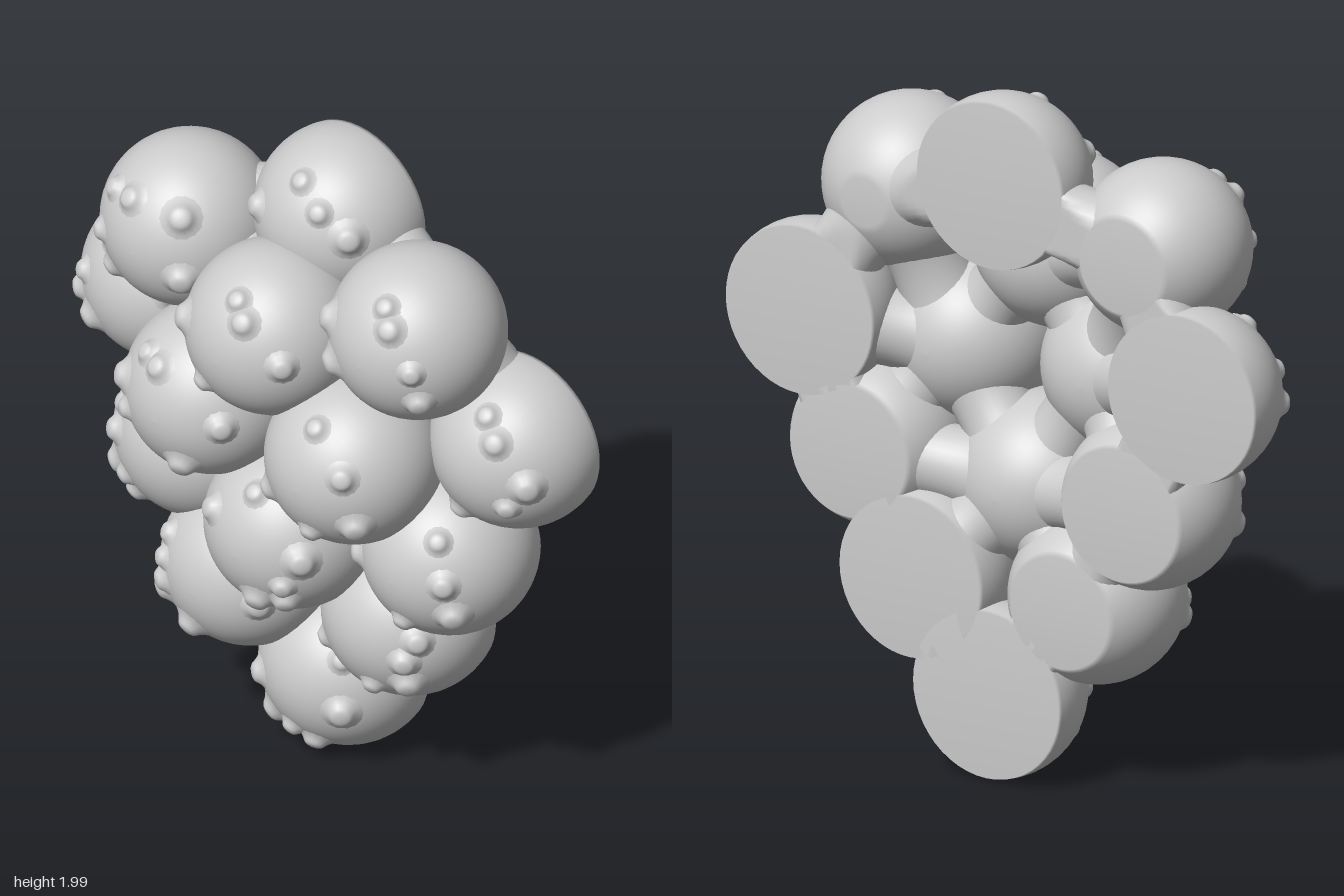
import * as THREE from 'three';

const R = 0.25;        // berry radius
const BACK = -0.31;    // flat plane the cluster is cut by

// Berry centres, from the top of the cluster to its tip
const CENTRES = [
  [0, 1.75, -0.24],
  [-0.44, 1.6, -0.1], [0.42, 1.62, -0.07],
  [-0.01, 1.5, 0.04],
  [-0.64, 1.25, -0.25], [0.635, 1.26, -0.25],
  [-0.25, 1.185, 0.02], [0.265, 1.18, 0.02],
  [-0.435, 0.87, -0.15], [0.47, 0.88, -0.15],
  [0, 0.82, -0.03],
  [-0.235, 0.545, -0.12], [0.265, 0.55, -0.22],
  [0.01, 0.255, -0.25],
].map((c) => new THREE.Vector3(...c));

// Directions of the nodules around each berry's front, in degrees
const NODULES = [
  [90, 160, 20, 56],
  [133, 105, 49, 183, 225, 341], [79, 62, 162, 7, 330, 205],
  [84, 66, 167, 235, 8],
  [110, 94, 29, 163, 193, 220], [79, 55, 0, 329, 250],
  [120, 100, 166, 196, 6, 293], [86, 31, 330, 275, 210],
  [141, 167, 209, 223, 240, 36], [54, 11, 333, 270, 184],
  [86, 146, 7, 332, 312, 286],
  [145, 195, 207, 167, 0, 253], [208, 350, 321, 283, 14],
  [45, 187, 230, 258, 280, 349],
];

// Sphere profile closed by a flat back where it meets the cutting plane
function berryGeometry(cz) {
  const cut = Math.max(-R, BACK - cz);
  const start = Math.asin(cut / R);
  const pts = cut > -R ? [new THREE.Vector2(0, cut)] : [];
  for (let i = 0; i <= 32; i++) {
    const a = start + (Math.PI / 2 - start) * i / 32;
    pts.push(new THREE.Vector2(Math.max(0, R * Math.cos(a)), R * Math.sin(a)));
  }
  return new THREE.LatheGeometry(pts, 48).rotateX(Math.PI / 2);
}

// Small rounded bump with a flared foot
function noduleGeometry() {
  const pts = [];
  for (let i = 0; i <= 10; i++) {
    const t = i / 10;
    const r = 0.06 * (1 - t) ** 2 + 0.018 * Math.sin(Math.PI * t ** 1.5);
    pts.push(new THREE.Vector2(Math.max(0, r), -0.008 + 0.036 * Math.sin(t * Math.PI / 2)));
  }
  return new THREE.LatheGeometry(pts, 14);
}

// Waisted web between two berries, set towards the back and flattened on the cutting plane
function webGeometry(a, b) {
  const gap = a.distanceTo(b);
  const pts = [];
  for (let i = -5; i <= 5; i++) {
    pts.push(new THREE.Vector2(0.11 + 0.03 * (i / 5) ** 2, 0.07 * i * gap));
  }
  const middle = a.clone().lerp(b, 0.5);
  const turn = new THREE.Quaternion().setFromUnitVectors(
    new THREE.Vector3(0, 1, 0), b.clone().sub(a).normalize());
  const geometry = new THREE.LatheGeometry(pts, 32).applyQuaternion(turn)
    .translate(middle.x, middle.y, middle.z - 0.07);
  const p = geometry.attributes.position;
  for (let i = 0; i < p.count; i++) p.setZ(i, Math.max(p.getZ(i), BACK + 0.001));
  geometry.computeVertexNormals();
  return geometry;
}

export function createModel() {
  const model = new THREE.Group();
  model.name = 'berryCluster';
  const skin = new THREE.MeshStandardMaterial({ color: 0xcccccc });
  skin.name = 'light grey';
  const up = new THREE.Vector3(0, 1, 0);
  const nodule = noduleGeometry();

  CENTRES.forEach((centre, k) => {
    const berry = new THREE.Group();
    berry.name = 'berry';
    berry.position.copy(centre);
    const body = new THREE.Mesh(berryGeometry(centre.z), skin);
    body.name = 'berryBody';
    berry.add(body);

    // Nodules on the front
    NODULES[k].forEach((degrees, i) => {
      const angle = THREE.MathUtils.degToRad(degrees);
      const reach = 0.18 - 0.03 * (i % 2);
      const x = reach * Math.cos(angle), y = reach * Math.sin(angle);
      const dir = new THREE.Vector3(x, y, Math.sqrt(R * R - reach * reach)).normalize();
      const bump = new THREE.Mesh(nodule, skin);
      bump.name = 'nodule';
      bump.position.copy(dir).multiplyScalar(R);
      bump.quaternion.setFromUnitVectors(up, dir);
      bump.scale.setScalar(0.8 + 0.12 * (i % 3));
      berry.add(bump);
    });
    model.add(berry);

    // Webs fusing this berry to the later ones it touches
    for (const other of CENTRES.slice(k + 1)) {
      if (centre.distanceTo(other) > 0.505) continue;
      const web = new THREE.Mesh(webGeometry(centre, other), skin);
      web.name = 'web';
      model.add(web);
    }
  });
  return model;
}
